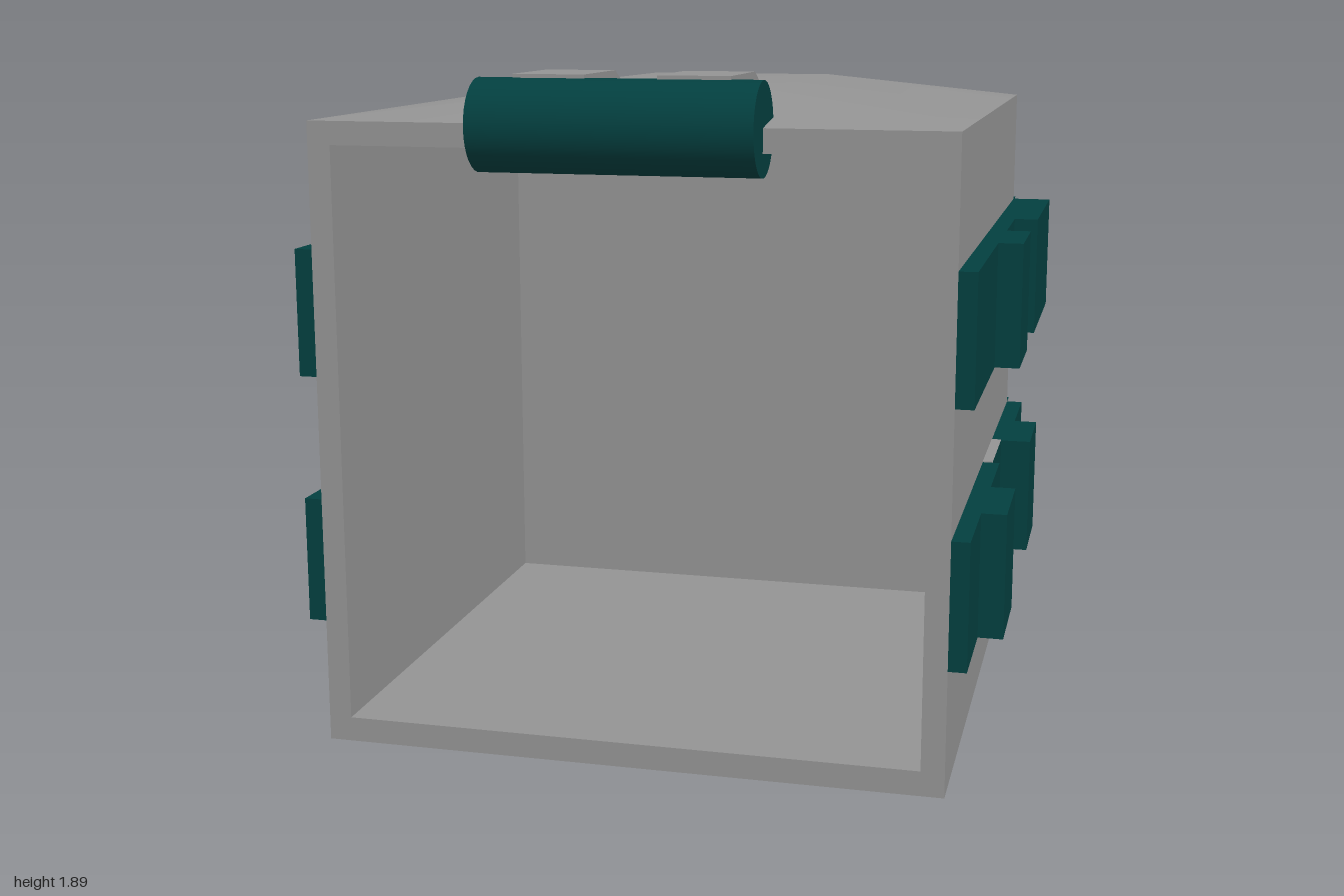
import * as THREE from 'three';

const grey = new THREE.MeshStandardMaterial({ color: 0x939393 });
const teal = new THREE.MeshStandardMaterial({ color: 0x033f3f });

const W = 0.88, H = 1.765, FRONT = 0.86, BACK = -0.905;
const BANDS = { lower: [0.355, 0.71], upper: [1.06, 1.415] };
const THIN = 0.05, THICK = 0.12, RECESS = 0.03;

function add(parent, name, geometry, material) {
  const mesh = new THREE.Mesh(geometry, material);
  mesh.name = name;
  parent.add(mesh);
  return mesh;
}

// Box given by its two extents on each axis
function addBox(parent, name, [x0, x1], [y0, y1], [z0, z1], material) {
  const mesh = add(parent, name, new THREE.BoxGeometry(x1 - x0, y1 - y0, z1 - z0), material);
  mesh.position.set((x0 + x1) / 2, (y0 + y1) / 2, (z0 + z1) / 2);
  return mesh;
}

function rectangle(target, x0, y0, x1, y1) {
  target.moveTo(x0, y0).lineTo(x1, y0).lineTo(x1, y1).lineTo(x0, y1).closePath();
  return target;
}

// Low crowned top with smooth shading: rows run from front to back, four points across
function roofGeometry() {
  const rows = [ // outer z, inner z, inner height
    [FRONT, FRONT, H], [0.57, 0.43, 1.828], [0.28, 0.28, 1.84],
    [-0.6, -0.6, 1.84], [BACK, BACK, H],
  ];
  const points = [], faces = [];
  for (const [zo, zi, y] of rows) {
    points.push(-W, H, zo, -0.29, y, zi, 0.29, y, zi, W, H, zo);
  }
  for (let r = 0; r < rows.length - 1; r++) {
    for (let c = 0; c < 3; c++) {
      const a = r * 4 + c, b = a + 1, d = a + 4, e = a + 5;
      // Diagonals run from the corners inwards, like hips
      const lastRow = r === rows.length - 2;
      if ((c < 2) !== lastRow) faces.push(a, b, e, a, e, d);
      else faces.push(a, b, d, b, e, d);
    }
  }
  const geometry = new THREE.BufferGeometry();
  geometry.setAttribute('position', new THREE.Float32BufferAttribute(points, 3));
  geometry.setIndex(faces);
  geometry.computeVertexNormals();
  return geometry;
}

// Stepped band on one side, listed from back to front: [zBack, zFront, thickness]
function addSideBand(parent, name, side, [y0, y1], steps) {
  const band = new THREE.Group();
  band.name = name;
  steps.forEach(([z0, z1, t], i) => {
    const x = side > 0 ? [W, W + t] : [-W - t, -W];
    if (t === RECESS) {
      // Recessed plate: coloured face with grey rims
      addBox(band, 'recessedPlate', x, [y0 - 0.003, y1 + 0.003], [z0, z1],
        [teal, teal, grey, grey, grey, grey]);
    } else {
      // The step in front of a recess has a grey end
      const afterRecess = i > 0 && steps[i - 1][2] === RECESS;
      addBox(band, 'bandStep', x, [y0, y1], [z0, z1],
        afterRecess ? [teal, teal, teal, teal, teal, grey] : teal);
    }
  });
  parent.add(band);
}

export function createModel() {
  const model = new THREE.Group();
  model.name = 'container';

  // Hollow body, open at the front
  const shell = rectangle(new THREE.Shape(), -W, 0, W, H);
  shell.holes.push(rectangle(new THREE.Path(), -0.815, 0.07, 0.815, 1.70));
  const innerBack = -0.68;
  const shellGeometry = new THREE.ExtrudeGeometry(shell, { depth: FRONT - innerBack, bevelEnabled: false });
  add(model, 'bodyShell', shellGeometry, grey).position.z = innerBack;
  addBox(model, 'backWall', [-W, W], [0, H], [BACK, innerBack], grey);
  add(model, 'roof', roofGeometry(), grey);

  // Roller over the front top edge
  const roller = add(model, 'roller', new THREE.CylinderGeometry(0.125, 0.125, 0.765, 32), teal);
  roller.rotation.z = Math.PI / 2;
  roller.position.set(-0.007, 1.761, 0.85);

  // Two wedge straps holding the roller
  const profile = new THREE.Shape();
  profile.moveTo(-FRONT, 1.75).lineTo(-0.43, 1.75).lineTo(-0.43, 1.83)
    .lineTo(-0.57, 1.895).lineTo(-FRONT, 1.895).closePath();
  for (const side of [-1, 1]) {
    const geometry = new THREE.ExtrudeGeometry(profile, { depth: 0.195, bevelEnabled: false });
    const strap = add(model, side > 0 ? 'leftStrap' : 'rightStrap', geometry, grey);
    strap.rotation.y = Math.PI / 2;
    strap.position.x = side * 0.195 - 0.0975;
  }

  // Bands across the back; the lower one has a grey end
  const backZ = [-0.975, BACK];
  addBox(model, 'upperBackBand', [-W, W], BANDS.upper, backZ, teal);
  addBox(model, 'lowerBackBand', [-W, W], BANDS.lower, backZ, [grey, teal, teal, teal, teal, teal]);

  // Stepped bands along both sides
  addSideBand(model, 'upperLeftBand', 1, BANDS.upper, [
    [BACK, -0.31, THICK], [-0.31, -0.01, THIN], [-0.01, 0.28, THICK], [0.28, FRONT, THIN],
  ]);
  addSideBand(model, 'lowerLeftBand', 1, BANDS.lower, [
    [BACK, -0.6, THIN], [-0.6, -0.31, THICK], [-0.31, -0.01, RECESS],
    [-0.01, 0.28, THIN], [0.28, 0.57, THICK], [0.57, FRONT, THIN],
  ]);
  addSideBand(model, 'upperRightBand', -1, BANDS.upper, [
    [BACK, -0.6, THIN], [-0.6, -0.31, THICK], [-0.31, 0.28, THIN],
    [0.28, 0.57, THICK], [0.57, FRONT, THIN],
  ]);
  addSideBand(model, 'lowerRightBand', -1, BANDS.lower, [
    [BACK, -0.31, THIN], [-0.31, -0.01, THICK], [-0.01, 0.28, THIN],
    [0.28, 0.57, RECESS], [0.57, FRONT, THIN],
  ]);

  return model;
}
